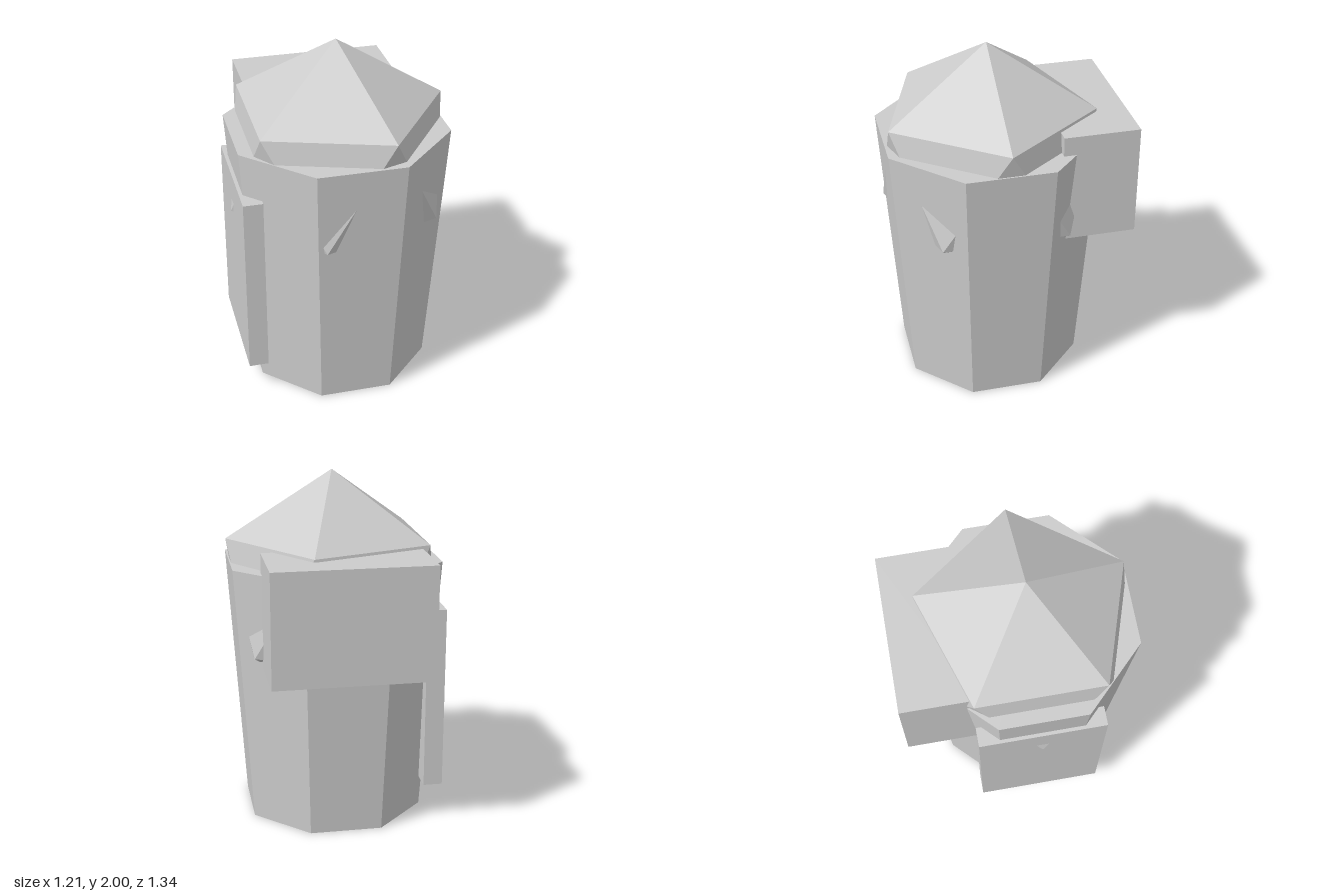
import * as THREE from 'three';

export function createModel() {
  const model = new THREE.Group();
  const grey = new THREE.MeshStandardMaterial({ color: 0xcccccc, flatShading: true });
  grey.name = 'grey';

  const AXIS_Z = 0.075; // the body sits slightly forward of the backpack

  function add(name, geometry, x, y, z) {
    const mesh = new THREE.Mesh(geometry, grey);
    mesh.name = name;
    mesh.position.set(x, y, z);
    model.add(mesh);
  }

  // Tapered eight-sided body with a flat side facing front
  const body = new THREE.CylinderGeometry(0.64, 0.535, 1.5, 8);
  body.rotateY(Math.PI / 8);
  add('body', body, 0, 0.75, AXIS_Z);

  // Icosahedron head standing on a vertex; its lower corners poke through the body
  const head = new THREE.IcosahedronGeometry(0.678, 0);
  head.rotateZ(-Math.atan(2 / (1 + Math.sqrt(5))));
  add('head', head, 0, 1.322, AXIS_Z);

  // Box on the back
  add('backBox', new THREE.BoxGeometry(0.89, 0.64, 0.425), 0, 1.29, -0.4575);

  // Flat panel on the right side
  add('sidePanel', new THREE.BoxGeometry(0.11, 1.065, 0.715), -0.54, 0.7175, AXIS_Z);

  return model;
}
